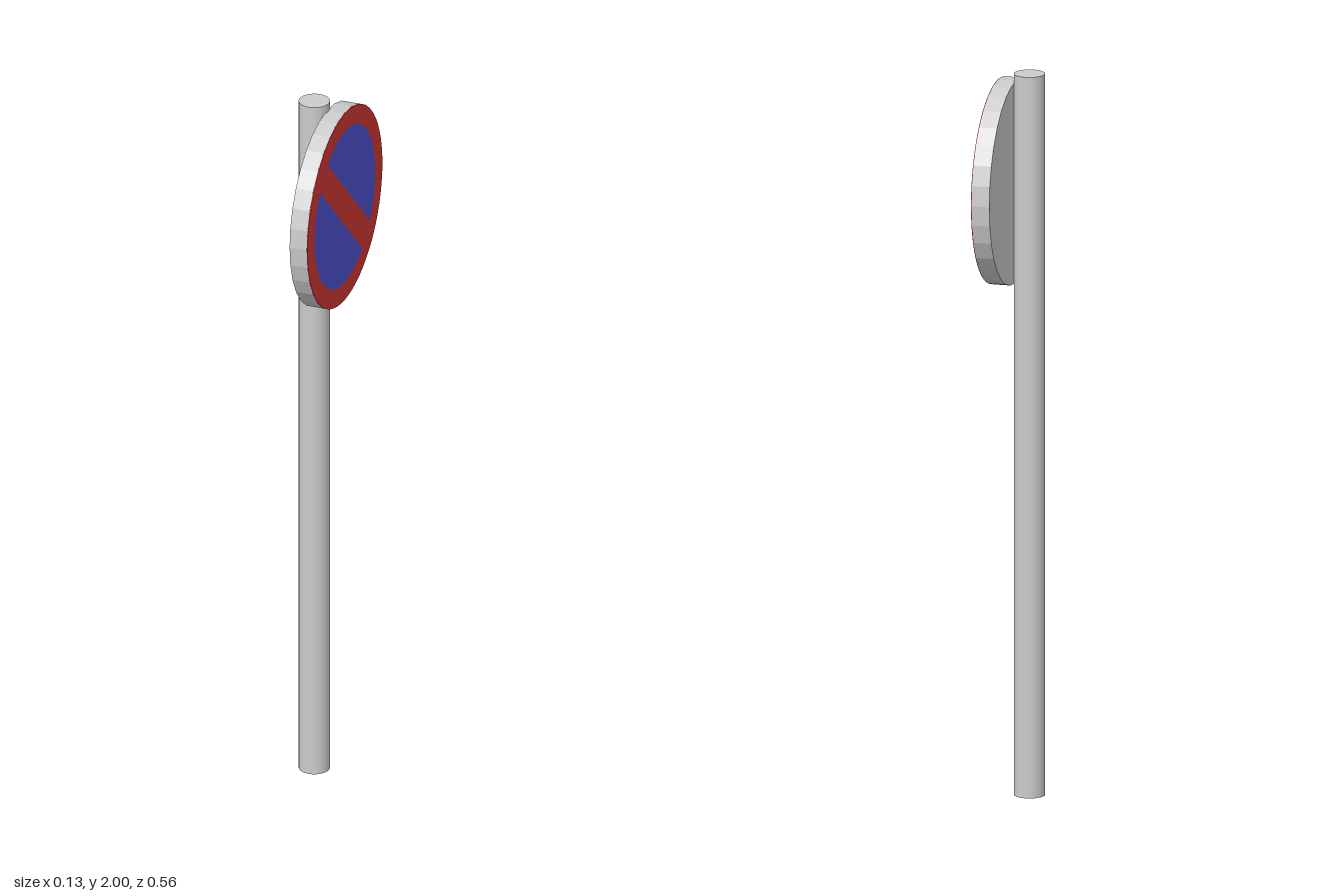
import * as THREE from 'three';

const RADIUS = 0.28, INNER = 0.225, BAR_HALF = 0.04;
const FACE_DEPTH = 0.002;

// Half-moon panel on one side of the diagonal bar
function panelShape(type, turn) {
  const a = Math.asin(BAR_HALF / INNER);
  const shape = new type();
  shape.absarc(0, 0, INNER, turn - Math.PI / 4 + a, turn + 3 * Math.PI / 4 - a, false);
  shape.closePath();
  return shape;
}

export function createModel() {
  const group = new THREE.Group();
  const grey = new THREE.MeshStandardMaterial({ color: 0xcccccc });
  const greyFlat = new THREE.MeshStandardMaterial({ color: 0xcccccc, flatShading: true });
  const red = new THREE.MeshStandardMaterial({ color: 0xd93a35 });
  const blue = new THREE.MeshStandardMaterial({ color: 0x5055d8 });

  const add = (parent, name, geometry, material) => {
    const mesh = new THREE.Mesh(geometry, material);
    mesh.name = name;
    parent.add(mesh);
    return mesh;
  };

  // Pole
  add(group, 'pole', new THREE.CylinderGeometry(0.042, 0.042, 2, 32), grey).position.set(-0.024, 1, 0);

  // Sign, built facing +z and turned to face +x
  const sign = new THREE.Group();
  sign.name = 'sign';
  sign.position.set(0.013, 1.698, 0);
  sign.rotation.y = Math.PI / 2;
  group.add(sign);

  // Thick faceted disc
  const thickness = 0.049;
  const disc = new THREE.CylinderGeometry(RADIUS, RADIUS, thickness, 32).rotateX(Math.PI / 2);
  add(sign, 'signDisc', disc, greyFlat).position.z = thickness / 2;

  // Red rim and diagonal bar, with openings for the panels
  const rim = new THREE.Shape().absarc(0, 0, RADIUS - 0.001, 0, Math.PI * 2, false);
  const turns = [0, Math.PI];
  rim.holes = turns.map((t) => panelShape(THREE.Path, t));
  const options = { depth: FACE_DEPTH, bevelEnabled: false, curveSegments: 32 };
  add(sign, 'rimAndBar', new THREE.ExtrudeGeometry(rim, options), red).position.z = thickness;

  // Blue panels
  turns.forEach((t, i) => {
    const panel = new THREE.ExtrudeGeometry(panelShape(THREE.Shape, t), options);
    add(sign, i ? 'lowerPanel' : 'upperPanel', panel, blue).position.z = thickness;
  });

  return group;
}
